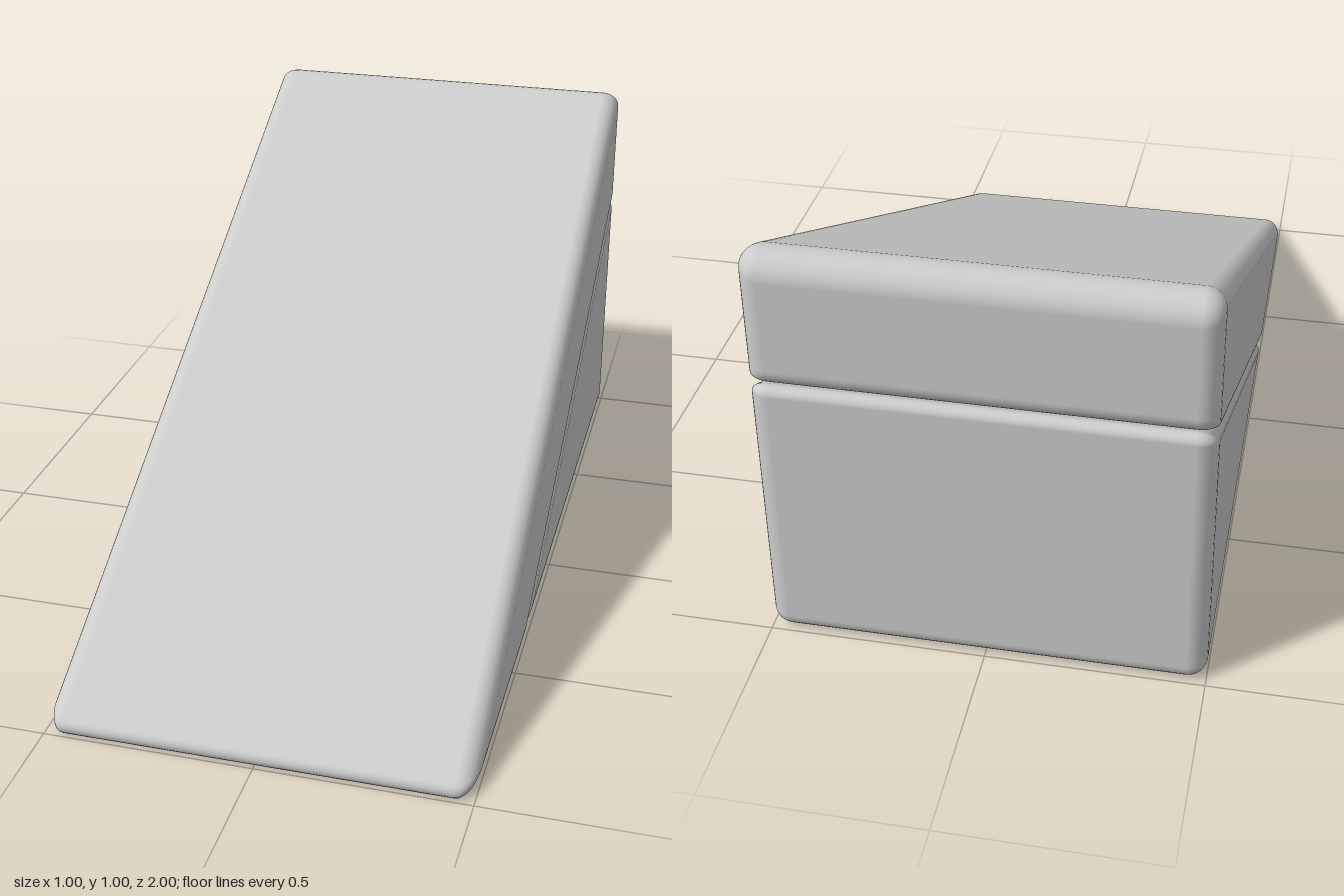
import * as THREE from 'three';

const HALF_WIDTH = 0.5;
const BEVEL = 0.045;
const ARC = 8; // segments per rounded corner
const STEPS = 8; // segments per side bevel

// One rounded outline of a prism: corners are [z, y, radius, side inset of the edge to the next corner].
function outline(corners, angle) {
  const n = corners.length;
  const shrink = 1 - Math.cos(angle);
  const normal = (i) => {
    const p = corners[i % n], q = corners[(i + 1) % n];
    return new THREE.Vector2(q[1] - p[1], p[0] - q[0]).normalize();
  };
  const ring = [];
  corners.forEach(([z, y, radius], i) => {
    const n0 = normal(i + n - 1), n1 = normal(i);
    const r = radius * Math.cos(angle);
    const a = corners[(i + n - 1) % n][3] * shrink + r;
    const b = corners[i][3] * shrink + r;
    const det = n0.x * n1.y - n0.y * n1.x;
    const cz = z + (b * n0.y - a * n1.y) / det;
    const cy = y + (a * n1.x - b * n0.x) / det;
    const start = n0.angle();
    const sweep = (n1.angle() - start + Math.PI * 2) % (Math.PI * 2);
    for (let k = 0; k <= ARC; k++) {
      const t = start + (sweep * k) / ARC;
      const dz = Math.cos(t), dy = Math.sin(t);
      ring.push({ z: cz + r * dz, y: cy + r * dy, dz, dy });
    }
  });
  return ring;
}

// Prism across x with rounded edges, lofted from side to side.
function roundedPrism(corners) {
  const positions = [], normals = [], indices = [];
  const layers = [];
  for (const side of [-1, 1]) {
    for (let s = 0; s <= STEPS; s++) {
      const t = (Math.PI / 2) * (side < 0 ? 1 - s / STEPS : s / STEPS);
      layers.push({ side, t });
    }
  }
  let count = 0;
  for (const { side, t } of layers) {
    const ring = outline(corners, t);
    count = ring.length;
    const x = side * (HALF_WIDTH - BEVEL + BEVEL * Math.cos(Math.PI / 2 - t));
    for (const p of ring) {
      positions.push(x, p.y, p.z);
      normals.push(side * Math.sin(t), p.dy * Math.cos(t), p.dz * Math.cos(t));
    }
  }
  for (let l = 0; l < layers.length - 1; l++) {
    for (let j = 0; j < count; j++) {
      const a = l * count + j, b = l * count + ((j + 1) % count);
      const d = a + count, c = b + count;
      indices.push(a, d, c, a, c, b);
    }
  }
  // flat side faces
  const last = (layers.length - 1) * count;
  for (let j = 1; j < count - 1; j++) {
    indices.push(0, j, j + 1, last, last + j + 1, last + j);
  }
  const geometry = new THREE.BufferGeometry();
  geometry.setAttribute('position', new THREE.Float32BufferAttribute(positions, 3));
  geometry.setAttribute('normal', new THREE.Float32BufferAttribute(normals, 3));
  geometry.setIndex(indices);
  return geometry;
}

export function createModel() {
  const group = new THREE.Group();
  group.name = 'rampBlock';
  const material = new THREE.MeshStandardMaterial({ color: 0xcccccc });
  const add = (name, corners) => {
    const mesh = new THREE.Mesh(roundedPrism(corners), material);
    mesh.name = name;
    group.add(mesh);
  };

  // sloping slab that forms the ramp surface
  add('rampSlab', [
    [0.39, 0, 0.12, 0.04],
    [1.07, 0, 0.0216, 0.045],
    [-1, 1.035, 0.057, 0.045],
    [-1, 0.695, 0.05, 0.02],
  ]);

  // wedge that carries the slab
  add('supportWedge', [
    [-1, 0, 0.045, 0.045],
    [0.38, 0, 0.007, 0.02],
    [-1, 0.69, 0.02, 0.045],
  ]);

  return group;
}
